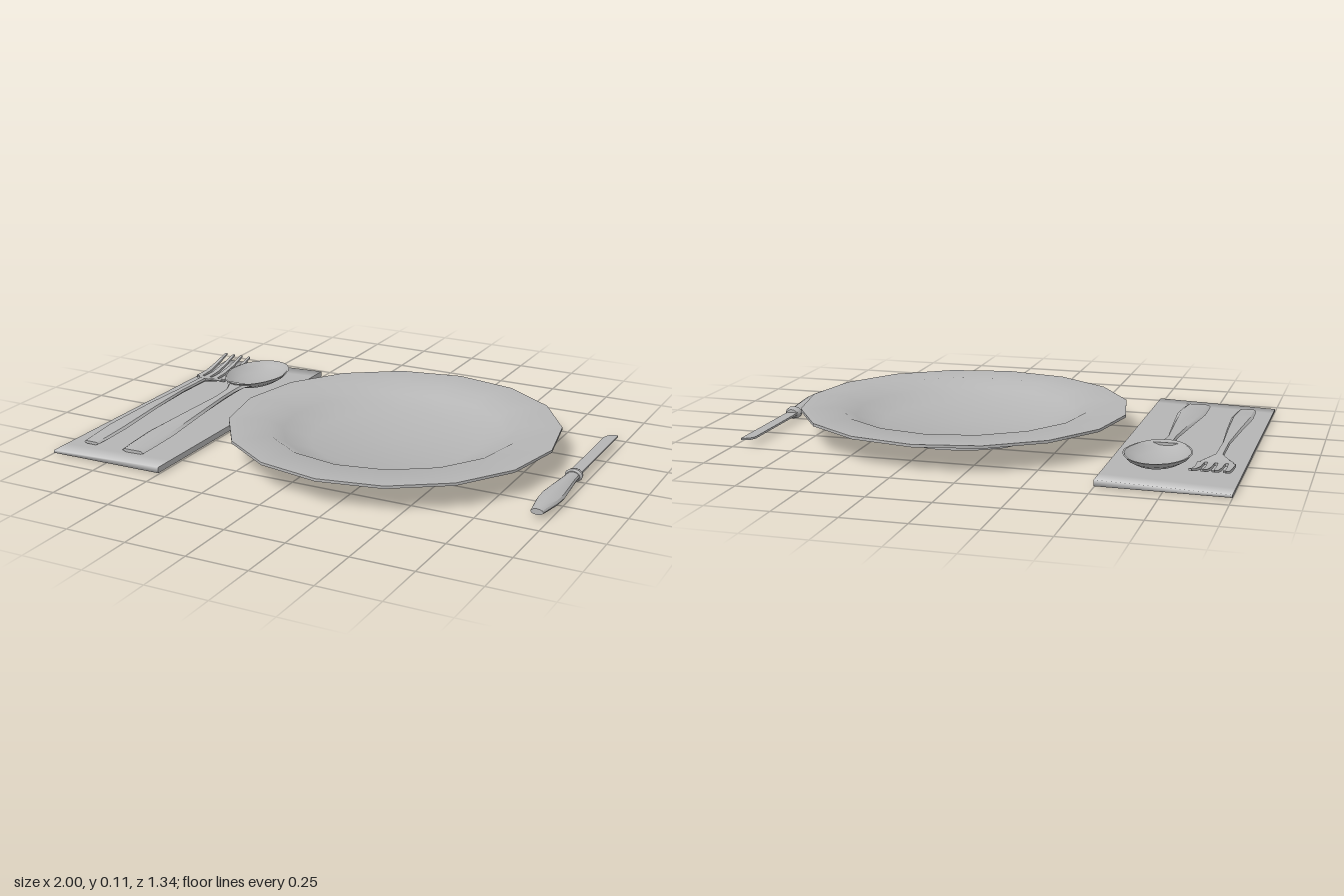
import * as THREE from 'three';
import { toCreasedNormals } from 'three/addons/utils/BufferGeometryUtils.js';

// Loft along z; sections are [z, centreX, centreY, halfWidth, halfHeight], z increasing
function loft(sections, ring, crease = 0.6) {
  const pos = [], idx = [], n = ring.length, last = (sections.length - 1) * n;
  for (const [z, cx, cy, hw, hh] of sections) {
    for (const [u, v] of ring) pos.push(cx + u * hw, cy + v * hh, z);
  }
  for (let i = 0; i < last; i += n) {
    for (let j = 0; j < n; j++) {
      const k = (j + 1) % n;
      idx.push(i + j, i + k, i + n + k, i + j, i + n + k, i + n + j);
    }
  }
  for (let j = 1; j < n - 1; j++) {
    idx.push(0, j + 1, j, last, last + j, last + j + 1);
  }
  const g = new THREE.BufferGeometry();
  g.setAttribute('position', new THREE.Float32BufferAttribute(pos, 3));
  g.setIndex(idx);
  return toCreasedNormals(g, crease);
}

const RECT = [[1, -1], [1, 1], [-1, 1], [-1, -1]];
const BEVEL = [[0.6, -1], [1, 0], [0.75, 1], [-0.75, 1], [-1, 0], [-0.6, -1]];
const ROUND = Array.from({ length: 12 }, (_, i) => {
  const a = (i / 12) * Math.PI * 2;
  return [Math.cos(a), Math.sin(a)];
});

const lathe = (pts, n) => new THREE.LatheGeometry(pts.map(([x, y]) => new THREE.Vector2(x, y)), n);

export function createModel() {
  const model = new THREE.Group();
  model.name = 'placeSetting';
  const grey = new THREE.MeshStandardMaterial({ color: 0xb5b5b5 });
  grey.name = 'grey';
  const group = (name) => {
    const g = new THREE.Group();
    g.name = name;
    model.add(g);
    return g;
  };
  const add = (parent, name, geometry) => {
    const m = new THREE.Mesh(geometry, grey);
    m.name = name;
    parent.add(m);
    return m;
  };

  // Soup plate: 16 sides, wide flat rim, sloped well, recessed foot
  const plate = add(model, 'plate', toCreasedNormals(lathe([
    [0, 0.028], [0.305, 0.028], [0.31, 0.008], [0.328, 0.008], [0.328, 0.036],
    [0.36, 0.04], [0.515, 0.107], [0.67, 0.107], [0.67, 0.118], [0.51, 0.118],
    [0.45, 0.086], [0.34, 0.048], [0, 0.046],
  ], 16), 0.5));
  plate.position.x = 0.19;

  // Folded napkin: a thin wedge, thicker at the fold, with softly turned ends
  const napkinGeo = new THREE.BoxGeometry(0.5, 1, 1.335, 1, 1, 4);
  const p = napkinGeo.attributes.position, nrm = napkinGeo.attributes.normal;
  for (let i = 0; i < p.count; i++) {
    const fold = p.getX(i) > 0, top = p.getY(i) > 0, z = p.getZ(i);
    p.setY(i, top ? (fold ? 0.036 : 0.02) : (fold ? 0.012 : 0.009));
    if (Math.abs(z) > 0.1 && Math.abs(z) < 0.6) p.setZ(i, Math.sign(z) * 0.585);
    if (Math.abs(z) > 0.6 && Math.abs(nrm.getX(i)) < 0.5) {
      nrm.setXYZ(i, 0, top ? 0.707 : -0.707, Math.sign(z) * 0.707);
    }
  }
  const napkin = add(model, 'napkin', napkinGeo);
  napkin.position.x = -0.75;

  // Fork
  const fork = group('fork');
  const fx = -0.896;
  add(fork, 'forkHandle', loft([
    [-0.35, fx, 0.038, 0.068, 0.006], [-0.325, fx, 0.042, 0.062, 0.007],
    [-0.28, fx, 0.052, 0.017, 0.008], [-0.1, fx, 0.052, 0.015, 0.008],
    [0.12, fx, 0.05, 0.03, 0.008], [0.37, fx, 0.041, 0.045, 0.008],
    [0.5, fx, 0.034, 0.04, 0.007], [0.557, fx, 0.032, 0.035, 0.006],
  ], BEVEL));
  for (let i = 0; i < 4; i++) {
    const s = i - 1.5, base = fx + s * 0.039, tip = fx + s * 0.041;
    add(fork, 'forkTine', loft([
      [-0.585, tip, 0.078, 0.005, 0.004], [-0.5, tip, 0.054, 0.009, 0.005],
      [-0.42, base, 0.04, 0.011, 0.006], [-0.345, base, 0.038, 0.014, 0.006],
    ], RECT));
  }

  // Spoon
  const spoon = group('spoon');
  const sx = -0.684;
  add(spoon, 'spoonHandle', loft([
    [-0.245, sx, 0.073, 0.06, 0.007], [-0.215, sx, 0.069, 0.038, 0.01],
    [-0.17, sx, 0.062, 0.023, 0.01], [-0.08, sx, 0.057, 0.02, 0.01],
    [0.12, sx, 0.053, 0.038, 0.009], [0.37, sx, 0.046, 0.059, 0.008],
    [0.5, sx, 0.04, 0.056, 0.008], [0.572, sx, 0.036, 0.051, 0.007],
  ], BEVEL));
  // Shallow egg-shaped bowl with an inner and an outer skin
  const bowlGeo = lathe([
    [0, -0.05], [0.35, -0.047], [0.65, -0.036], [0.88, -0.018], [1, 0],
    [0.95, 0], [0.83, -0.014], [0.6, -0.029], [0.32, -0.038], [0, -0.041],
  ], 24);
  const b = bowlGeo.attributes.position;
  for (let i = 0; i < b.count; i++) {
    const z = b.getZ(i);
    b.setXYZ(i, b.getX(i) * 0.131 * (1 - 0.14 * Math.max(0, z)), b.getY(i), z * 0.187);
  }
  const bowl = add(spoon, 'spoonBowl', toCreasedNormals(bowlGeo, 0.7));
  bowl.position.set(sx, 0.084, -0.395);

  // Table knife: round handle, collar and a flat blade with a curved tip
  const knife = group('knife');
  const kx = 0.953, ky = 0.033;
  add(knife, 'knifeHandle', loft([
    [0, kx, ky, 0.026, 0.016], [0.06, kx, ky, 0.029, 0.018], [0.15, kx, ky, 0.038, 0.02],
    [0.23, kx, ky, 0.046, 0.021], [0.29, kx, ky, 0.043, 0.02], [0.36, kx, ky, 0.032, 0.016],
    [0.4, kx, ky, 0.025, 0.012],
  ], ROUND));
  add(knife, 'knifeCollar', loft([
    [-0.026, kx, ky, 0.024, 0.018], [-0.012, kx, ky, 0.033, 0.024],
    [0.004, kx, ky, 0.036, 0.026], [0.014, kx, ky, 0.028, 0.02],
  ], ROUND));
  const outline = new THREE.Shape();
  outline.moveTo(0.927, 0.01);
  outline.lineTo(0.973, 0.01);
  outline.lineTo(0.973, 0.477);
  outline.lineTo(0.955, 0.474);
  outline.quadraticCurveTo(0.932, 0.465, 0.927, 0.435);
  const blade = new THREE.ExtrudeGeometry(outline, { depth: 0.008, bevelEnabled: false, curveSegments: 5 });
  blade.rotateX(-Math.PI / 2);
  add(knife, 'knifeBlade', blade).position.y = 0.03;

  return model;
}
